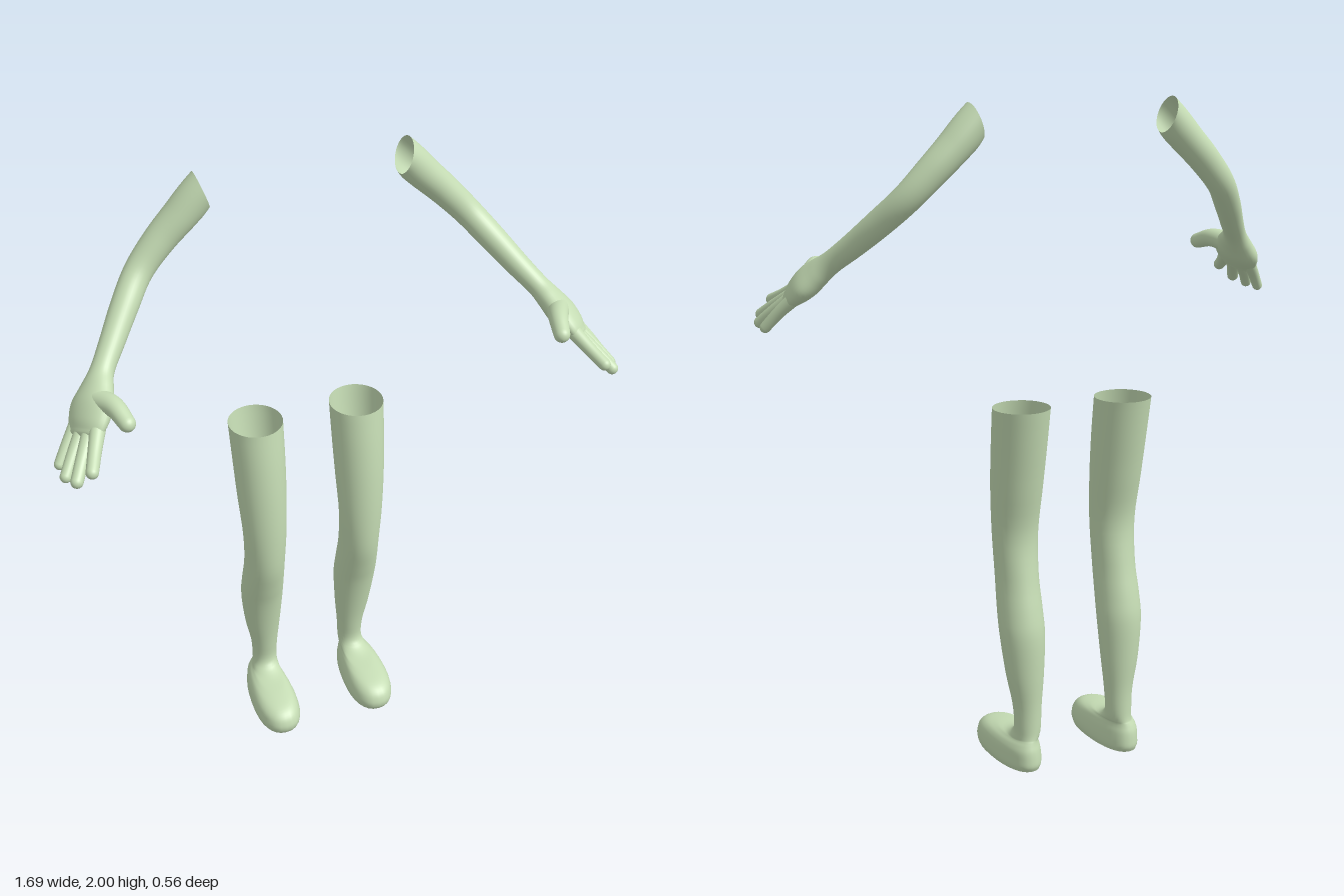
import * as THREE from 'three';

const SIDES = 32;
const material = new THREE.MeshStandardMaterial({ color: 0xc5dcb4, side: THREE.DoubleSide });

// Smoothly interpolated rows of a small table, `steps` samples per row
function sampleRows(rows, steps) {
  const size = rows[0].length;
  const spline = new THREE.CubicInterpolant(rows.map((_, i) => i), rows.flat(), size);
  const count = (rows.length - 1) * steps;
  return Array.from({ length: count + 1 }, (_, i) => Array.from(spline.evaluate(i / steps)));
}

// Skin over a list of rings, each an array of SIDES points
function loft(rings) {
  const index = [];
  for (let i = 0; i < rings.length - 1; i++) {
    for (let j = 0; j < SIDES; j++) {
      const k = (j + 1) % SIDES;
      const a = i * SIDES + j, b = i * SIDES + k;
      index.push(a, b, a + SIDES, b, b + SIDES, a + SIDES);
    }
  }
  const geometry = new THREE.BufferGeometry().setFromPoints(rings.flat());
  geometry.setIndex(index);
  geometry.computeVertexNormals();
  return geometry;
}

function mirrored(geometry) {
  const copy = geometry.clone().scale(-1, 1, 1);
  const ix = copy.index.array;
  for (let i = 0; i < ix.length; i += 3) [ix[i], ix[i + 1]] = [ix[i + 1], ix[i]];
  copy.computeVertexNormals();
  return copy;
}

// Elliptical sweep through rows [x, y, z, wide radius, thin radius];
// the last `cap` units are rounded off, wideAxis(t) turns the ellipse
function sweep(rows, wideAxis, cap, startNormal) {
  const samples = sampleRows(rows, 6);
  const centres = samples.map(s => new THREE.Vector3(s[0], s[1], s[2]));
  const last = centres.length - 1;
  // close the tip with evenly turned rings
  const capRings = 7;
  const dirEnd = centres[last].clone().sub(centres[last - 1]).normalize();
  const all = centres.map((c, i) => ({ c, w: samples[i][3], n: samples[i][4] }));
  for (let i = 1; i <= capRings; i++) {
    const a = (i / capRings) * Math.PI / 2;
    all.push({
      c: centres[last].clone().addScaledVector(dirEnd, cap * Math.sin(a)),
      w: samples[last][3] * Math.cos(a),
      n: samples[last][4] * Math.cos(a),
    });
  }
  return loft(all.map(({ c, w, n }, i) => {
    const t = all[Math.min(i + 1, all.length - 1)].c.clone().sub(all[Math.max(i - 1, 0)].c).normalize();
    if (startNormal && i < 5) t.lerpVectors(startNormal, t.clone(), i / 5).normalize();
    const u = wideAxis(Math.min(i / last, 1));
    u.addScaledVector(t, -u.dot(t)).normalize();
    const v = t.clone().cross(u);
    return Array.from({ length: SIDES }, (_, j) => {
      const a = (j / SIDES) * Math.PI * 2;
      return c.clone().addScaledVector(u, w * Math.cos(a)).addScaledVector(v, n * Math.sin(a));
    });
  }));
}

// Horizontal sections of the leg: y, x min, x max, z back, z front, squareness, heel taper
const LEG = [
  [0.000, 0.088, 0.244, -0.274, 0.048, 2.3, 0.25],
  [0.015, 0.083, 0.249, -0.280, 0.055, 2.3, 0.25],
  [0.035, 0.083, 0.249, -0.279, 0.055, 2.3, 0.25],
  [0.060, 0.090, 0.243, -0.275, 0.042, 2.3, 0.22],
  [0.078, 0.101, 0.229, -0.269, 0.012, 2.2, 0.16],
  [0.089, 0.112, 0.212, -0.265, -0.050, 2.1, 0.08],
  [0.098, 0.115, 0.202, -0.262, -0.130, 2, 0.02],
  [0.125, 0.115, 0.196, -0.260, -0.173, 2, 0],
  [0.200, 0.111, 0.200, -0.260, -0.170, 2, 0],
  [0.300, 0.102, 0.219, -0.266, -0.154, 2, 0],
  [0.420, 0.095, 0.232, -0.268, -0.130, 2, 0],
  [0.500, 0.096, 0.232, -0.255, -0.108, 2, 0],
  [0.600, 0.098, 0.228, -0.232, -0.085, 2, 0],
  [0.730, 0.093, 0.233, -0.215, -0.079, 2, 0],
  [0.870, 0.086, 0.242, -0.241, -0.084, 2, 0],
  [1.000, 0.082, 0.247, -0.267, -0.097, 2, 0],
  [1.124, 0.080, 0.251, -0.290, -0.116, 2, 0],
];

function legRing([y, x0, x1, z0, z1, power, taper]) {
  const bend = c => Math.sign(c) * Math.abs(c) ** (2 / power);
  return Array.from({ length: SIDES }, (_, j) => {
    const a = (j / SIDES) * Math.PI * 2;
    const cz = bend(Math.cos(a)), cx = bend(Math.sin(a));
    const width = (x1 - x0) / 2 * (1 - taper * (1 - cz) / 2);
    return new THREE.Vector3((x0 + x1) / 2 + width * cx, y, (z0 + z1) / 2 + (z1 - z0) / 2 * cz);
  });
}

// Shoulder opening, elbow, wrist, then the flattened palm
const ARM = [
  [0.302, 1.948, -0.200, 0.055, 0.055],
  [0.360, 1.885, -0.200, 0.052, 0.050],
  [0.430, 1.815, -0.196, 0.046, 0.046],
  [0.500, 1.740, -0.176, 0.041, 0.042],
  [0.560, 1.670, -0.120, 0.040, 0.040],
  [0.615, 1.605, -0.058, 0.036, 0.036],
  [0.660, 1.555, -0.005, 0.036, 0.033],
  [0.685, 1.525, 0.030, 0.054, 0.037],
  [0.709, 1.494, 0.064, 0.076, 0.041],
  [0.730, 1.466, 0.094, 0.074, 0.035],
  [0.744, 1.445, 0.112, 0.066, 0.026],
];

// Base, middle and tip of each digit, with start and end radius
const DIGITS = {
  thumb: [[0.695, 1.510, 0.070], [0.664, 1.522, 0.135], [0.646, 1.506, 0.198], 0.036, 0.024],
  indexFinger: [[0.712, 1.470, 0.130], [0.742, 1.435, 0.200], [0.764, 1.412, 0.256], 0.023, 0.018],
  middleFinger: [[0.732, 1.452, 0.118], [0.775, 1.408, 0.186], [0.804, 1.375, 0.234], 0.023, 0.018],
  ringFinger: [[0.748, 1.445, 0.095], [0.793, 1.398, 0.145], [0.824, 1.361, 0.183], 0.022, 0.017],
  littleFinger: [[0.757, 1.445, 0.060], [0.796, 1.400, 0.092], [0.827, 1.358, 0.118], 0.021, 0.016],
};

export function createModel() {
  const model = new THREE.Group();
  const parts = { leg: {}, arm: {} };

  // Leg with foot, plus its flat sole
  parts.leg.legAndFoot = loft(sampleRows(LEG, 4).map(legRing));
  const soleEdge = legRing(LEG[0]);
  parts.leg.sole = loft([soleEdge.map(() => new THREE.Vector3(0.166, 0, -0.11)), soleEdge]);

  // Arm turning from the shoulder's axis to the palm's width
  const palmWidth = new THREE.Vector3(-0.51, 0.33, 0.79);
  const shoulder = new THREE.Vector3(0, 0, 1);
  const shoulderNormal = new THREE.Vector3(0.94, -0.33, 0);
  const turn = t => shoulder.clone().lerp(palmWidth, THREE.MathUtils.smoothstep(t, 0.25, 0.65));
  parts.arm.armAndPalm = sweep(ARM, turn, 0.022, shoulderNormal);

  // Thumb and fingers
  for (const [name, [base, mid, tip, r0, r1]] of Object.entries(DIGITS)) {
    const rm = (r0 + r1) / 2 - 0.001;
    const rows = [[...base, r0, r0], [...mid, rm, rm], [...tip, r1, r1]];
    parts.arm[name] = sweep(rows, () => palmWidth.clone().cross(new THREE.Vector3(0.47, -0.62, 0.62)), r1);
  }

  // Both sides
  for (const side of ['left', 'right']) {
    for (const [limb, pieces] of Object.entries(parts)) {
      const group = new THREE.Group();
      group.name = side + limb[0].toUpperCase() + limb.slice(1);
      for (const [name, geometry] of Object.entries(pieces)) {
        const mesh = new THREE.Mesh(side === 'left' ? geometry : mirrored(geometry), material);
        mesh.name = name;
        group.add(mesh);
      }
      model.add(group);
    }
  }
  return model;
}
